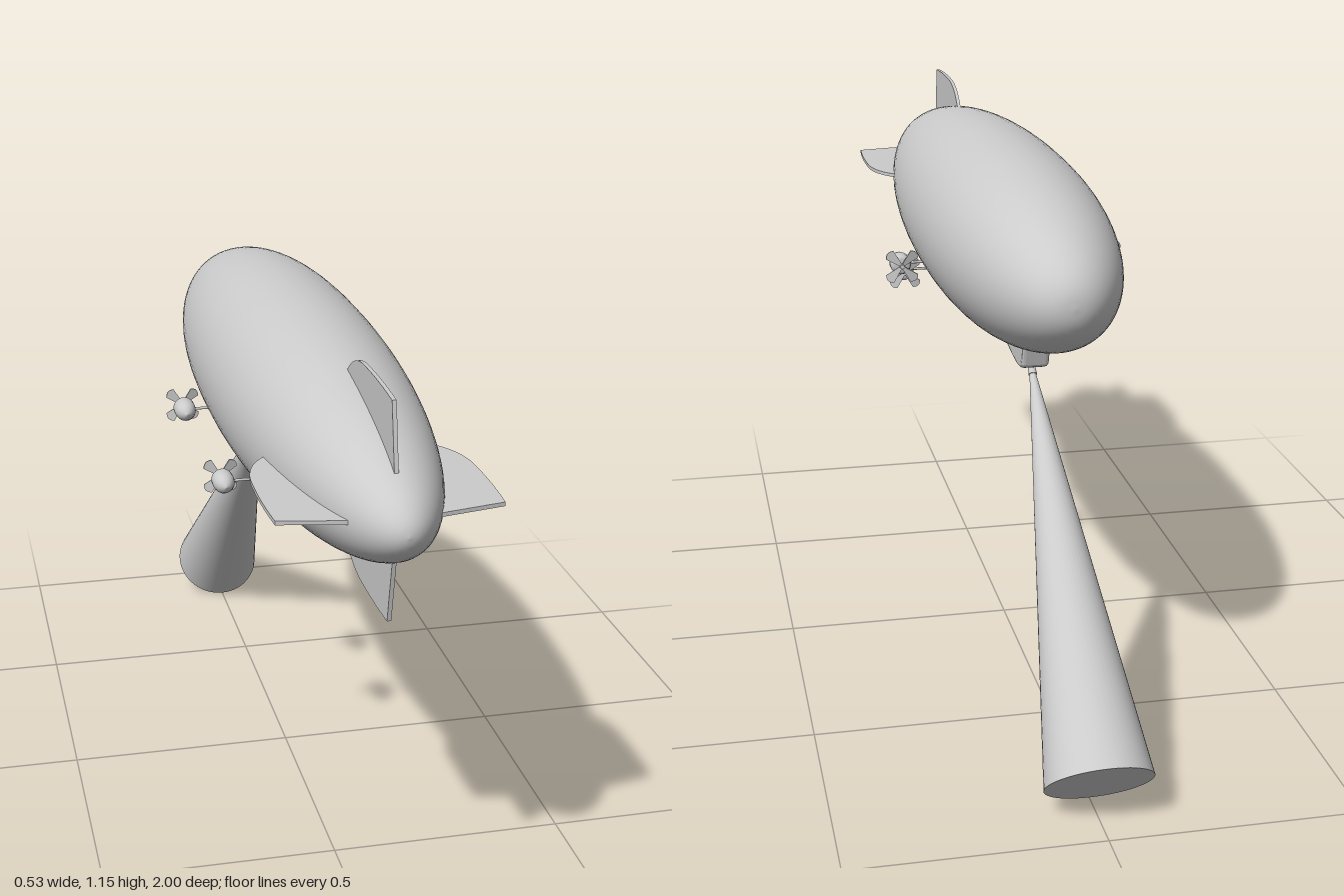
import * as THREE from 'three';

const material = new THREE.MeshStandardMaterial({ color: 0xcccccc });
const HULL_Y = 0.938, HULL_R = 0.197;

function add(parent, name, geometry) {
  const mesh = new THREE.Mesh(geometry, material);
  mesh.name = name;
  parent.add(mesh);
  return mesh;
}

// Lathe turned so that its axis runs along z; points are [radius, z]
function latheZ(points, segments) {
  const profile = points.map(([r, z]) => new THREE.Vector2(r, z));
  return new THREE.LatheGeometry(profile, segments).rotateX(Math.PI / 2);
}

// Side profile drawn in (z, y), extruded evenly to both sides of x = 0
function sidePlate(shape, width, bevel) {
  const depth = width - 2 * bevel;
  return new THREE.ExtrudeGeometry(shape, {
    depth, curveSegments: 12, bevelEnabled: bevel > 0,
    bevelThickness: bevel, bevelSize: bevel, bevelOffset: -bevel, bevelSegments: 3,
  }).translate(0, 0, -depth / 2).rotateY(-Math.PI / 2);
}

// Cylinder between two points
function rod(a, b, ra, rb, segments) {
  const dir = b.clone().sub(a);
  const turn = new THREE.Quaternion().setFromUnitVectors(new THREE.Vector3(0, 1, 0), dir.clone().normalize());
  const mid = a.clone().add(b).multiplyScalar(0.5);
  return new THREE.CylinderGeometry(rb, ra, dir.length(), segments)
    .applyQuaternion(turn).translate(mid.x, mid.y, mid.z);
}

// Blunt nose towards -z, slimmer tail towards +z
function hullGeometry() {
  const points = [], steps = 28, centre = 0.08;
  for (let i = 0; i <= steps; i++) {
    const t = Math.cos((i / steps) * Math.PI / 2);
    points.push([HULL_R * Math.pow(Math.max(0, 1 - t ** 2.3), 1 / 2.3), centre - 0.76 * t]);
  }
  for (let i = 1; i <= steps; i++) {
    const a = (i / steps) * Math.PI / 2;
    points.push([i === steps ? 0 : HULL_R * Math.cos(a), centre + 0.92 * Math.sin(a)]);
  }
  return latheZ(points, 64);
}

function finGeometry() {
  const s = new THREE.Shape();
  s.moveTo(0.56, 0.155);
  s.lineTo(0.91, 0.085);
  s.lineTo(0.885, 0.21);
  s.quadraticCurveTo(0.78, 0.218, 0.68, 0.213);
  s.quadraticCurveTo(0.6, 0.205, 0.56, 0.155);
  return sidePlate(s, 0.008, 0);
}

function gondolaGeometry() {
  const s = new THREE.Shape();
  s.moveTo(-0.15, 0.79);
  s.lineTo(-0.355, 0.79);
  s.lineTo(-0.335, 0.72);
  s.quadraticCurveTo(-0.325, 0.707, -0.29, 0.706);
  s.quadraticCurveTo(-0.23, 0.706, -0.15, 0.724);
  return sidePlate(s, 0.06, 0.009);
}

// Engine pod with its four-bladed propeller on the nose side
function makeEngine() {
  const engine = new THREE.Group();
  engine.name = 'engine';
  add(engine, 'enginePod', latheZ([
    [0, 0], [0.014, 0], [0.02, 0.004], [0.023, 0.012], [0.023, 0.03],
    [0.021, 0.042], [0.016, 0.053], [0.009, 0.061], [0, 0.065],
  ], 24));
  add(engine, 'propellerHub', new THREE.CylinderGeometry(0.005, 0.005, 0.014, 12)
    .rotateX(Math.PI / 2).translate(0, 0, -0.006));
  const s = new THREE.Shape();
  s.moveTo(0.003, -0.003);
  s.lineTo(0.038, -0.012);
  s.quadraticCurveTo(0.05, 0, 0.038, 0.012);
  s.lineTo(0.003, 0.003);
  const blade = new THREE.ExtrudeGeometry(s, { depth: 0.003, bevelEnabled: false, curveSegments: 8 })
    .translate(0, 0, -0.0015).rotateX(0.2);
  for (let i = 0; i < 4; i++) {
    const mesh = add(engine, 'propellerBlade', blade);
    mesh.position.z = -0.008;
    mesh.rotation.z = Math.PI / 4 + i * Math.PI / 2;
  }
  return engine;
}

export function createModel() {
  const model = new THREE.Group();
  model.name = 'airship';

  add(model, 'hull', hullGeometry()).position.y = HULL_Y;

  // Cross of four tail fins
  const fin = finGeometry();
  for (let i = 0; i < 4; i++) {
    const mesh = add(model, 'tailFin', fin);
    mesh.position.y = HULL_Y;
    mesh.rotation.z = i * Math.PI / 2;
  }

  add(model, 'gondola', gondolaGeometry());

  // Two engines on struts at each side
  for (const side of [-1, 1]) {
    for (const [x, y, z] of [[0.23, 0.858, 0], [0.19, 0.778, 0.24]]) {
      const engine = makeEngine();
      engine.position.set(side * x, y, z);
      model.add(engine);
      add(model, 'engineStrut', rod(
        new THREE.Vector3(side * 0.08, y, z + 0.025),
        new THREE.Vector3(side * x, y, z + 0.025), 0.003, 0.003, 8));
    }
  }

  // Searchlight under the gondola and its beam, aimed forward and down
  const lamp = new THREE.Vector3(0, 0.697, -0.303);
  const beamEnd = new THREE.Vector3(0, 0.076, -0.922);
  const axis = beamEnd.clone().sub(lamp).normalize();
  add(model, 'searchlight', rod(
    lamp.clone().addScaledVector(axis, -0.02), lamp.clone().addScaledVector(axis, 0.008), 0.007, 0.009, 16));
  add(model, 'lightBeam', rod(lamp, beamEnd, 0.006, 0.107, 48));

  return model;
}
